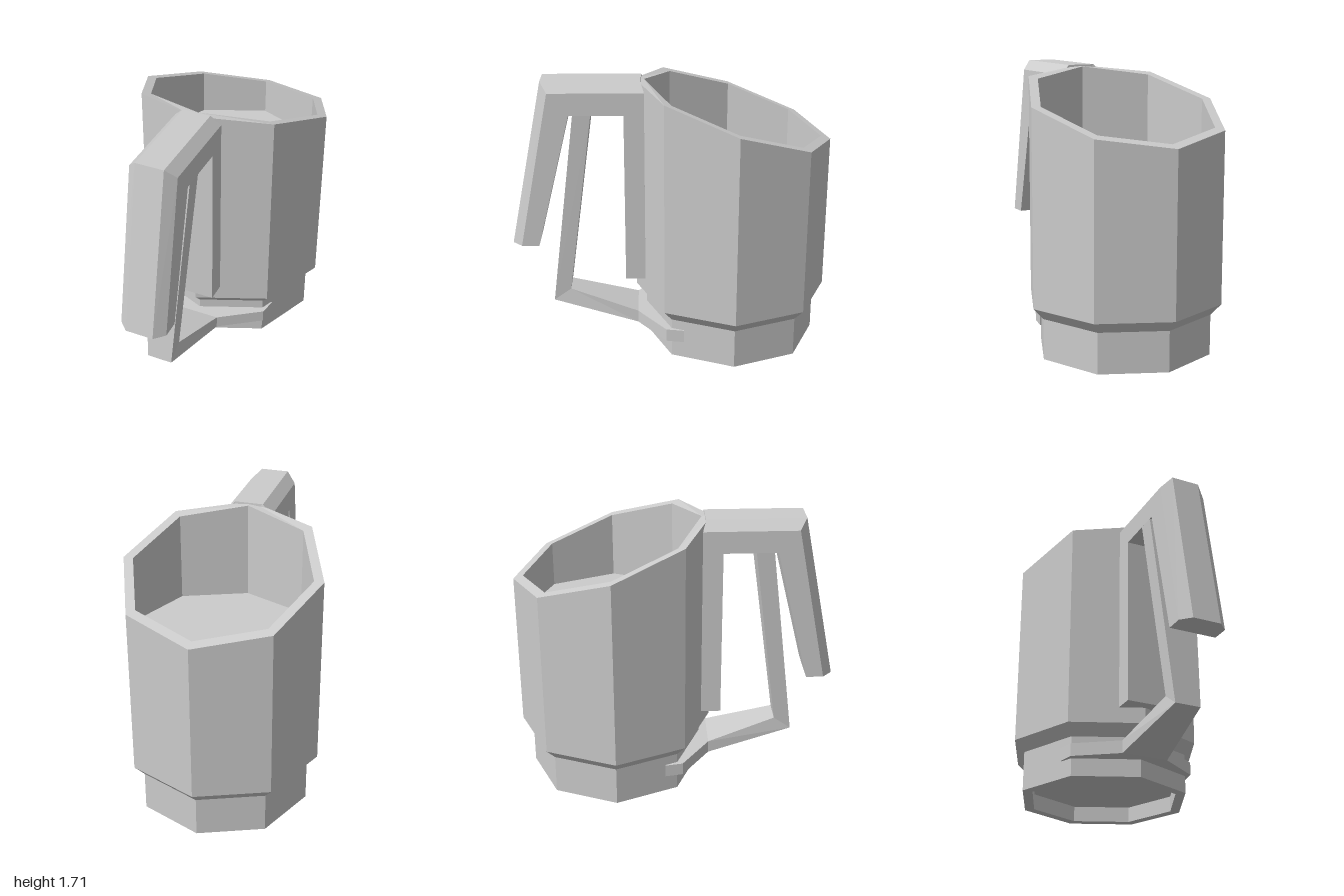
import * as THREE from 'three';

const material = new THREE.MeshStandardMaterial({ color: 0xcccccc, flatShading: true });

function part(name, geometry) {
  const mesh = new THREE.Mesh(geometry, material);
  mesh.name = name;
  return mesh;
}

// Joins equal-length rings of [x, y, z] points into a closed, faceted solid.
function loft(rings) {
  const tris = [];
  const n = rings[0].length;
  for (let k = 0; k < rings.length - 1; k++) {
    for (let i = 0; i < n; i++) {
      const j = (i + 1) % n;
      const [a, b, c, d] = [rings[k][i], rings[k][j], rings[k + 1][j], rings[k + 1][i]];
      tris.push([a, b, c], [a, c, d]);
    }
  }
  const first = rings[0], last = rings[rings.length - 1];
  for (let i = 1; i < n - 1; i++) {
    tris.push([first[0], first[i + 1], first[i]], [last[0], last[i], last[i + 1]]);
  }
  // A negative volume means the faces point inward, so turn them round
  const v = (p) => new THREE.Vector3(...p);
  const volume = tris.reduce((s, [a, b, c]) => s + v(a).dot(v(b).cross(v(c))), 0);
  if (volume < 0) tris.forEach((t) => t.reverse());
  const geometry = new THREE.BufferGeometry();
  geometry.setAttribute('position', new THREE.Float32BufferAttribute(tris.flat(2), 3));
  geometry.computeVertexNormals();
  return geometry;
}

// Mirrored ring from half-section points [halfWidth, y, z]
const mirrored = (half) => [
  ...half,
  ...half.map(([x, y, z]) => [-x, y, z]).reverse(),
];

export function createModel() {
  const group = new THREE.Group();
  group.name = 'mug';

  // Eight-sided cup: recessed foot, flared step, wall, rim and inner floor
  const TOP = 1.6;
  const profile = [
    [0, 0.1], [0.48, 0.1], [0.48, 0], [0.545, 0], [0.545, 0.25],
    [0.61, 0.32], [0.61, TOP], [0.55, TOP], [0.55, 1.1], [0, 1.1],
  ].map(([r, y]) => new THREE.Vector2(r, y));
  const cup = new THREE.LatheGeometry(profile, 8);
  const pos = cup.attributes.position;
  // Slant the rim: high at the handle, low at the back
  for (let i = 0; i < pos.count; i++) {
    if (Math.abs(pos.getY(i) - TOP) < 1e-4) {
      pos.setY(i, Math.min(1.705, 1.515 + 0.335 * pos.getZ(i)));
    }
  }
  cup.translate(0, 0, -0.39);
  cup.computeVertexNormals();
  group.add(part('cup', cup));

  const handle = new THREE.Group();
  handle.name = 'handle';
  const W = 0.148, C = 0.088;

  // Upright plate against the cup
  const plate = new THREE.BoxGeometry(2 * W, 1.09, 0.125);
  plate.translate(0, 0.42 + 0.545, 0.2225);
  handle.add(part('handlePlate', plate));

  // Chamfered top beam that bends down into the outer grip
  handle.add(part('grip', loft([
    mirrored([[W, 1.51, 0.16], [W, 1.65, 0.16], [C, 1.71, 0.18]]),
    mirrored([[W, 1.51, 0.62], [W, 1.65, 0.745], [C, 1.71, 0.79]]),
    mirrored([[W, 0.655, 0.83], [W, 0.655, 0.94], [C, 0.655, 1.0]]),
  ])));

  // Tapered inner strut that bends back to the foot
  handle.add(part('strut', loft([
    mirrored([[W, 1.515, 0.485], [W, 1.515, 0.595]]),
    mirrored([[0.083, 0.32, 0.645], [0.08, 0.24, 0.755]]),
    mirrored([[W, 0.19, 0.21], [W, 0.11, 0.21]]),
  ])));

  // Clamp band hugging the front of the foot
  const right = [[0, 0.15], [0.38, -0.008], [0.4, -0.08], [0.425, -0.08], [0.405, 0.03], [W, 0.21]];
  const outline = [...right, ...right.slice(1).map(([x, z]) => [-x, z]).reverse()];
  const band = new THREE.ExtrudeGeometry(
    new THREE.Shape(outline.map(([x, z]) => new THREE.Vector2(x, -z))),
    { depth: 0.08, bevelEnabled: false },
  );
  band.rotateX(-Math.PI / 2);
  band.translate(0, 0.11, 0);
  handle.add(part('clampBand', band));

  group.add(handle);
  return group;
}
